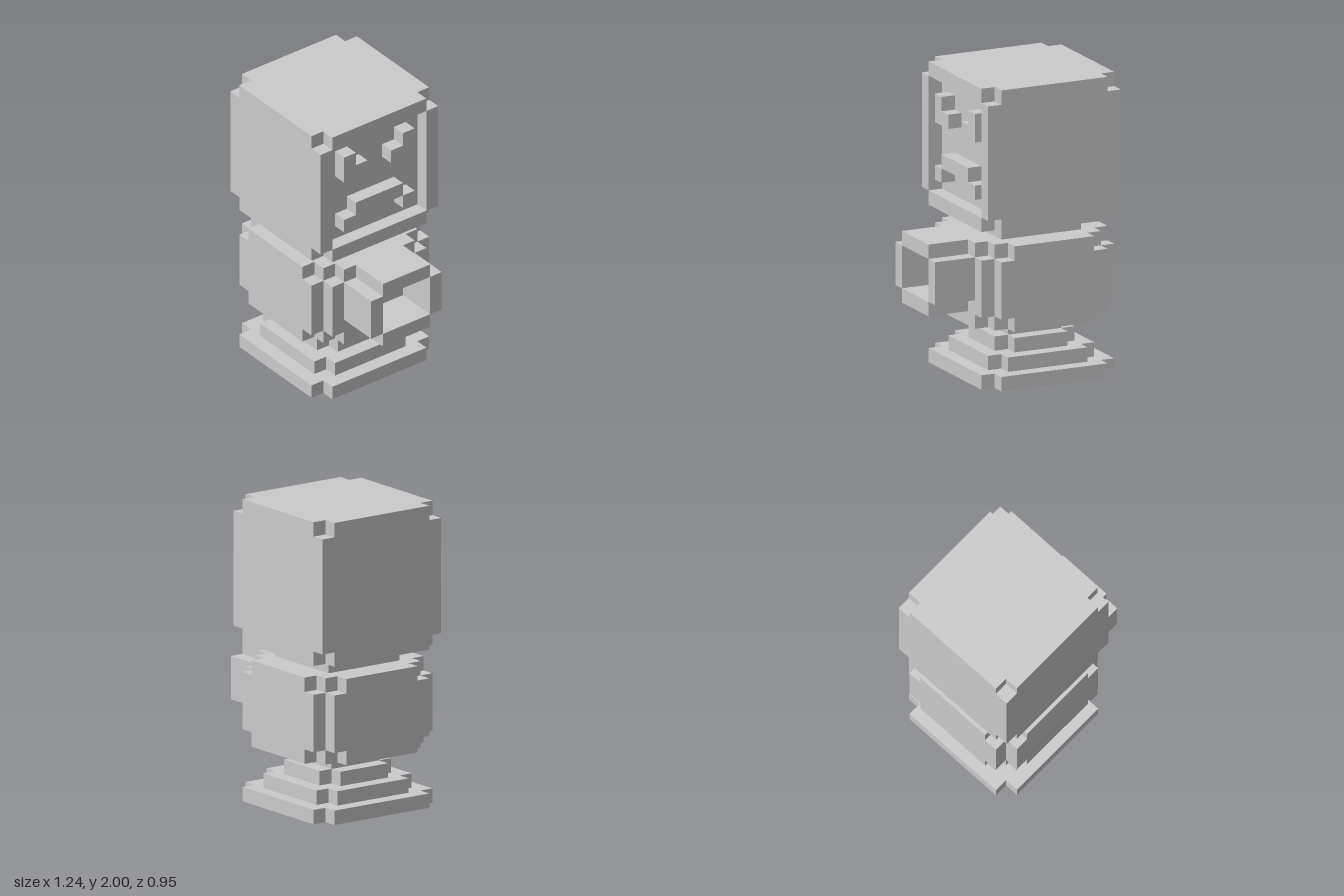
import * as THREE from 'three';

const U = 2 / 21;      // one block
const CX = -1.5;       // centre of the figure's column, in blocks
const material = new THREE.MeshStandardMaterial({ color: 0xcccccc, flatShading: true });

// Square outline of half-width h whose corners are cut by n stair steps
function steppedPoints(h, n) {
  const points = [];
  for (let q = 0; q < 4; q++) {
    const add = (x, y) => {
      for (let k = 0; k < q; k++) [x, y] = [-y, x];
      points.push(new THREE.Vector2(x, y));
    };
    for (let i = 0; i <= n; i++) {
      add(h - i, h - n + i);
      if (i < n) add(h - i - 1, h - n + i);
    }
  }
  return points;
}

function addMesh(parent, name, geometry) {
  const mesh = new THREE.Mesh(geometry, material);
  mesh.name = name;
  parent.add(mesh);
  return mesh;
}

// Horizontal slab from y0 to y1, optionally with a stepped hole
function slab(parent, name, h, n, y0, y1, holeHalf) {
  const shape = new THREE.Shape(steppedPoints(h, n));
  if (holeHalf) shape.holes.push(new THREE.Path(steppedPoints(holeHalf, n).reverse()));
  const geometry = new THREE.ExtrudeGeometry(shape, { depth: y1 - y0, bevelEnabled: false });
  geometry.rotateX(-Math.PI / 2);
  geometry.translate(CX, y0, 0);
  return addMesh(parent, name, geometry);
}

// Box given by its limits in blocks
function block(parent, name, x0, x1, y0, y1, z0, z1) {
  const geometry = new THREE.BoxGeometry(x1 - x0, y1 - y0, z1 - z0);
  geometry.translate((x0 + x1) / 2, (y0 + y1) / 2, (z0 + z1) / 2);
  return addMesh(parent, name, geometry);
}

function section(parent, name) {
  const group = new THREE.Group();
  group.name = name;
  parent.add(group);
  return group;
}

export function createModel() {
  const model = new THREE.Group();
  model.name = 'blockFigure';
  model.scale.setScalar(U);

  // Stepped pedestal, hollow underneath
  const base = section(model, 'pedestal');
  slab(base, 'bottomRing', 5, 1, 0, 1, 4);
  slab(base, 'lowerStep', 4, 1, 1, 2);
  slab(base, 'upperStep', 3, 1, 2, 3);
  slab(base, 'stem', 2, 0, 3, 4);

  // Rounded body and neck
  const body = section(model, 'body');
  slab(body, 'bodyBottom', 5, 2, 4, 5);
  slab(body, 'bodyMiddle', 5, 1, 5, 9);
  slab(body, 'bodyTop', 5, 2, 9, 10);
  slab(body, 'neck', 3, 0, 10, 11);

  // Open tube held out from the chest
  const tube = section(model, 'chestTube');
  block(tube, 'tubeTop', 3.5, 6.5, 9, 10, -2, 2);
  block(tube, 'tubeBottom', 3.5, 6.5, 5, 6, -2, 2);

  // Head with a recessed face on the +x side
  const head = section(model, 'head');
  slab(head, 'headBottom', 5, 1, 11, 12);
  block(head, 'headMiddle', -6.5, 2.5, 12, 20, -5, 5);
  slab(head, 'headTop', 5, 1, 20, 21);
  block(head, 'mouth', 2.5, 3.5, 14, 15, -2, 2);

  // Mirrored parts
  for (const s of [-1, 1]) {
    const pair = (parent, name, x0, x1, y0, y1, a, b) =>
      block(parent, name, x0, x1, y0, y1, Math.min(s * a, s * b), Math.max(s * a, s * b));
    pair(tube, 'tubeSide', 3.5, 6.5, 6, 9, 2, 3);
    pair(head, 'faceRim', 2.5, 3.5, 12, 20, 4, 5);
    pair(head, 'eyeOuter', 2.5, 3.5, 17, 19, 2, 3);
    pair(head, 'eyeInner', 2.5, 3.5, 17, 18, 1, 2);
    pair(head, 'mouthCorner', 2.5, 3.5, 13, 14, 2, 3);
  }
  return model;
}
